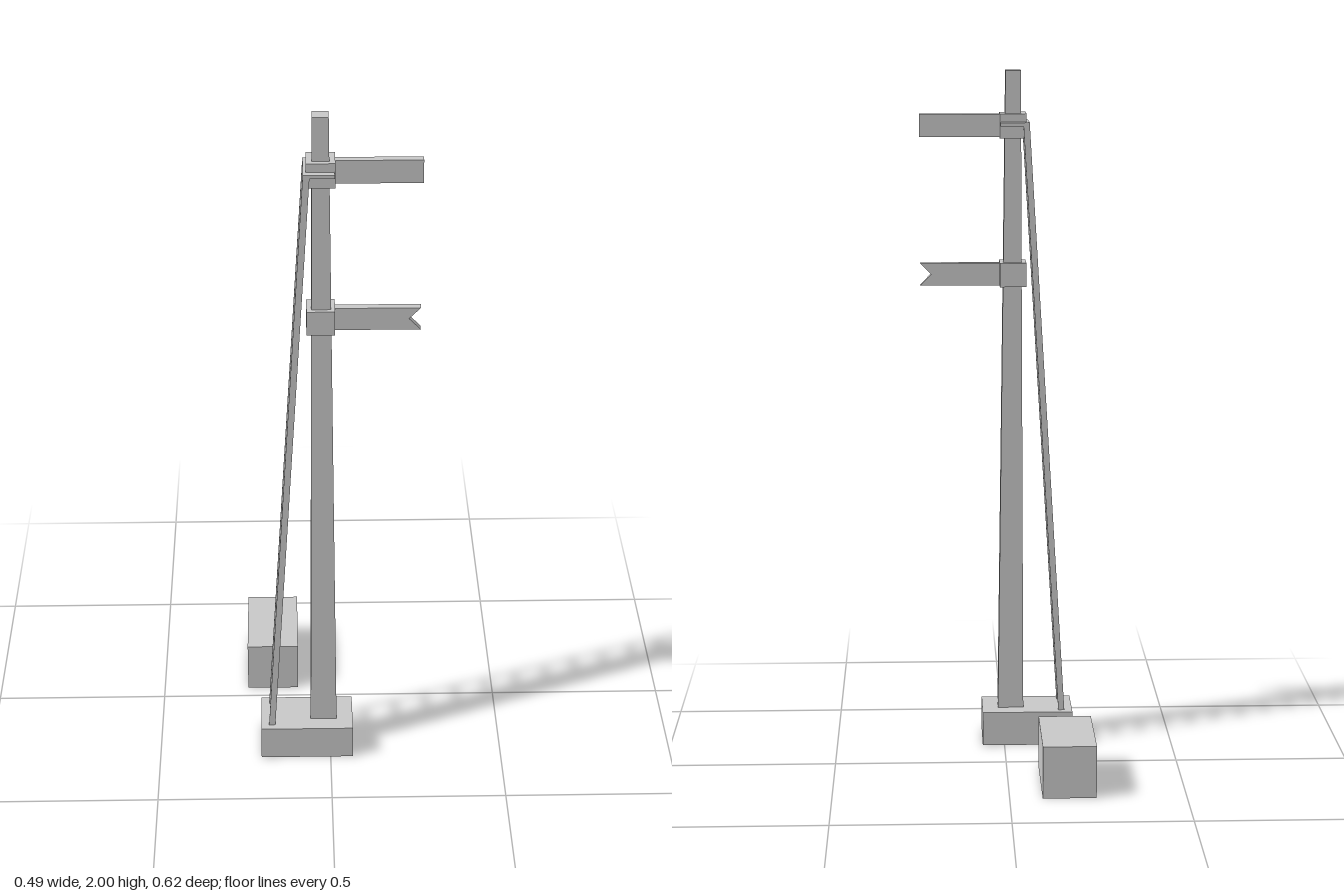
import * as THREE from 'three';

const solid = new THREE.MeshStandardMaterial({ color: 0xcccccc, flatShading: true });
const open = new THREE.MeshStandardMaterial({ color: 0xcccccc, flatShading: true, side: THREE.DoubleSide });

const POST_Z = 0.229;

// Box between two heights; lo and hi are [x0, x1, z0, z1] at the bottom and top
function block(name, y0, y1, lo, hi = lo, bottomless = false) {
  const geo = new THREE.BoxGeometry(1, 1, 1);
  const p = geo.attributes.position;
  for (let i = 0; i < p.count; i++) {
    const top = p.getY(i) > 0;
    const r = top ? hi : lo;
    p.setXYZ(i, p.getX(i) < 0 ? r[0] : r[1], top ? y1 : y0, p.getZ(i) < 0 ? r[2] : r[3]);
  }
  if (bottomless) {
    const idx = Array.from(geo.index.array);
    idx.splice(18, 6); // underside
    geo.setIndex(idx);
    geo.clearGroups();
  }
  geo.computeVertexNormals();
  const mesh = new THREE.Mesh(geo, bottomless ? open : solid);
  mesh.name = name;
  return mesh;
}

// Signal arm, with an optional fishtail notch at its tip
function arm(name, y0, y1, notch) {
  const s = new THREE.Shape();
  s.moveTo(0.005, y0);
  s.lineTo(0.243, y0);
  if (notch) s.lineTo(0.243 - notch, (y0 + y1) / 2);
  s.lineTo(0.243, y1);
  s.lineTo(0.005, y1);
  s.closePath();
  const geo = new THREE.ExtrudeGeometry(s, { depth: 0.023, bevelEnabled: false });
  geo.translate(0, 0, POST_Z - 0.0115);
  const mesh = new THREE.Mesh(geo, solid);
  mesh.name = name;
  return mesh;
}

function ladder() {
  const g = new THREE.Group();
  g.name = 'ladder';
  const y0 = 0.1, y1 = 1.853;
  const xAt = (y) => -0.171 + (0.107 * (y - y0)) / (y1 - y0);
  // Leaning side rails
  for (const [name, z] of [['backRail', 0.171], ['frontRail', 0.276]]) {
    const rect = (y) => [xAt(y) - 0.009, xAt(y) + 0.009, z, z + 0.01];
    g.add(block(name, y0, y1, rect(y0), rect(y1)));
  }
  // Rungs
  for (let i = 0; i < 15; i++) {
    const y = 0.113 + i * 0.112, x = xAt(y);
    g.add(block('rung', y - 0.004, y + 0.004, [x - 0.006, x + 0.006, 0.178, 0.28]));
  }
  return g;
}

export function createModel() {
  const model = new THREE.Group();
  model.name = 'semaphoreSignal';

  // Ground blocks, open underneath
  model.add(block('hut', 0, 0.152, [-0.245, -0.093, -0.31, -0.04], undefined, true));
  model.add(block('base', 0, 0.102, [-0.203, 0.065, 0.151, 0.307], undefined, true));

  // Tapering post
  model.add(block('post', 0.1, 2, [-0.058, 0.018, 0.2, 0.258], [-0.049, -0.005, 0.207, 0.251]));

  // Arms with the collars that hold them
  const collar = [-0.065, 0.012, 0.191, 0.267];
  model.add(block('upperCollar', 1.808, 1.878, collar));
  model.add(block('lowerCollar', 1.378, 1.448, collar));
  model.add(arm('upperArm', 1.81, 1.875, 0));
  model.add(arm('lowerArm', 1.38, 1.445, 0.032));

  // Ladder and the plate tying its top to the post
  model.add(ladder());
  model.add(block('ladderPlate', 1.844, 1.854, [-0.073, 0.01, 0.171, 0.286]));
  return model;
}
